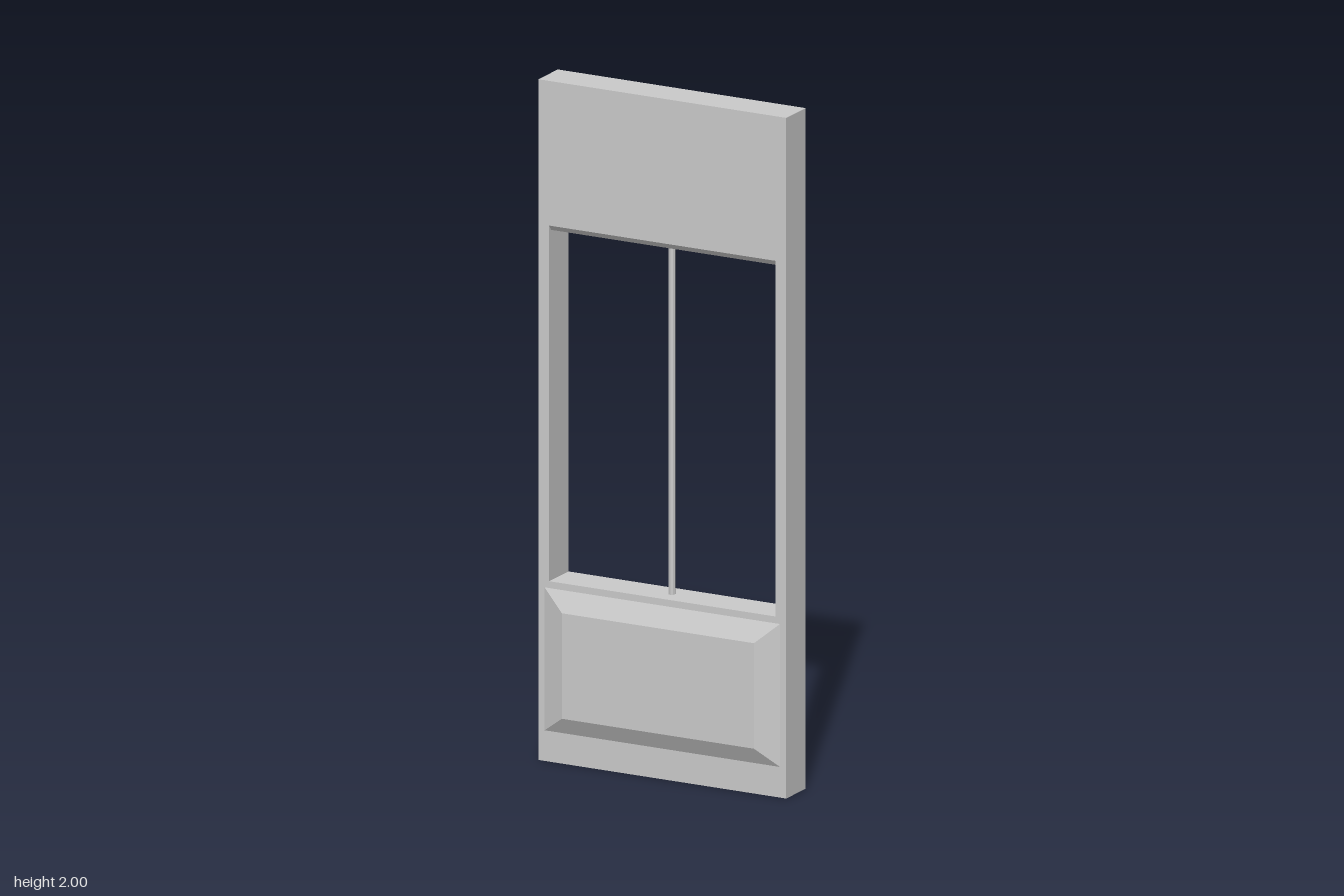
import * as THREE from 'three';

const BACK = -0.063, FRONT = 0.05, DEPTH = FRONT - BACK, MID = (FRONT + BACK) / 2;
const W = 0.4, OPEN = 0.365, SILL = 0.53, HEAD = 1.56;

export function createModel() {
  const model = new THREE.Group();
  model.name = 'door';
  const material = new THREE.MeshStandardMaterial({ color: 0xcccccc, flatShading: true });

  const add = (name, geometry, x = 0, y = 0, z = 0) => {
    const mesh = new THREE.Mesh(geometry, material);
    mesh.name = name;
    mesh.position.set(x, y, z);
    model.add(mesh);
    return mesh;
  };

  // Full-height stiles on both sides of the opening
  for (const [name, s] of [['leftStile', 1], ['rightStile', -1]]) {
    add(name, new THREE.BoxGeometry(W - OPEN, 2, DEPTH), s * (W + OPEN) / 2, 1, MID);
  }

  // Solid lower part under the window
  add('bottomRail', new THREE.BoxGeometry(OPEN * 2, SILL, DEPTH), 0, SILL / 2, MID);

  // Head with a small chamfer along its lower front edge; profile is (-z, y), extruded along x
  const head = new THREE.Shape([
    [-FRONT, 2], [-FRONT, HEAD + 0.015], [-FRONT + 0.01, HEAD], [-BACK, HEAD], [-BACK, 2],
  ].map(([a, b]) => new THREE.Vector2(a, b)));
  const headGeometry = new THREE.ExtrudeGeometry(head, { depth: OPEN * 2, bevelEnabled: false });
  headGeometry.rotateY(Math.PI / 2);
  add('topRail', headGeometry, -OPEN);

  // Raised panels: boxes whose outer face is drawn in to form sloping borders
  const raisedPanel = (height) => {
    const g = new THREE.BoxGeometry(0.76, 0.42, height);
    const p = g.attributes.position;
    for (let i = 0; i < p.count; i++) {
      if (p.getZ(i) > 0) p.setXY(i, Math.sign(p.getX(i)) * 0.31, p.getY(i) > 0 ? 0.15 : -0.16);
    }
    g.translate(0, 0, height / 2);
    g.computeVertexNormals();
    return g;
  };
  add('frontPanel', raisedPanel(0.025), 0, 0.3, FRONT);
  add('backPanel', raisedPanel(0.015), 0, 0.3, BACK).rotation.y = Math.PI;

  // Slim upright bar dividing the opening
  add('centreBar', new THREE.CylinderGeometry(0.01, 0.01, HEAD - SILL, 8), 0, (HEAD + SILL) / 2, MID);

  return model;
}
